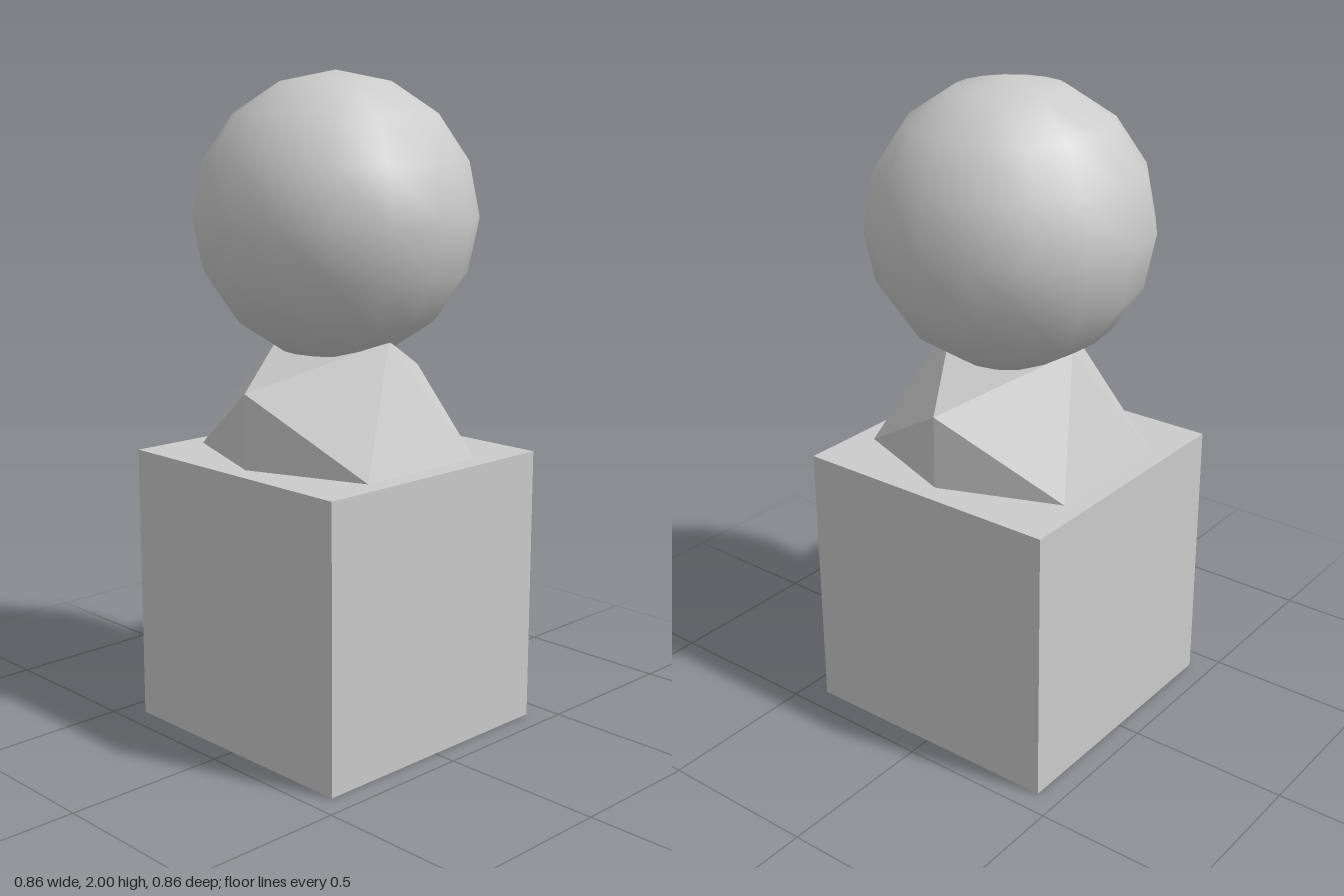
import * as THREE from 'three';

export function createModel() {
  const group = new THREE.Group();
  const R = 3 / 7; // shared half-size of all three solids

  function add(name, geometry, y, flatShading) {
    const material = new THREE.MeshStandardMaterial({ color: 0xcccccc, flatShading });
    const mesh = new THREE.Mesh(geometry, material);
    mesh.name = name;
    mesh.position.y = y;
    group.add(mesh);
  }

  // Cube pedestal
  add('baseCube', new THREE.BoxGeometry(2 * R, 2 * R, 2 * R), R, true);

  // Faceted neck, sunk halfway into the cube
  add('neckIcosahedron', new THREE.IcosahedronGeometry(R, 0), 2 * R, true);

  // Smooth ball resting in the neck
  add('topBall', new THREE.SphereGeometry(R, 16, 8), 2 - R, false);

  return group;
}
